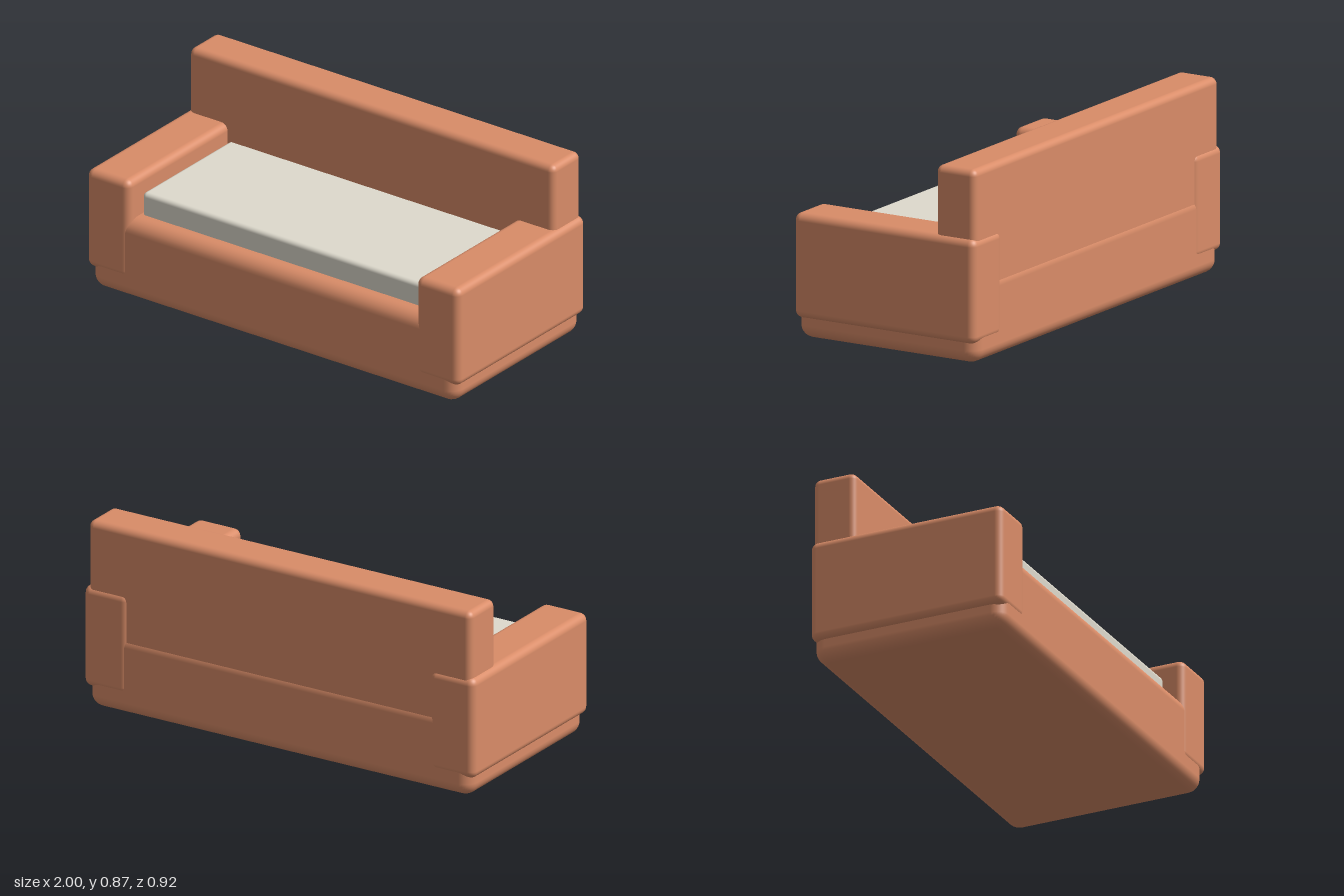
import * as THREE from 'three';
import { RoundedBoxGeometry } from 'three/addons/geometries/RoundedBoxGeometry.js';

const leather = new THREE.MeshStandardMaterial({ color: 0xd98c68 });
const fabric = new THREE.MeshStandardMaterial({ color: 0xdedacd });

// Rounded block given by its min and max corners
function block(name, [x0, y0, z0], [x1, y1, z1], radius, material) {
  const geometry = new RoundedBoxGeometry(x1 - x0, y1 - y0, z1 - z0, 4, radius);
  const mesh = new THREE.Mesh(geometry, material);
  mesh.position.set((x0 + x1) / 2, (y0 + y1) / 2, (z0 + z1) / 2);
  mesh.name = name;
  return mesh;
}

export function createModel() {
  const sofa = new THREE.Group();
  sofa.name = 'sofa';

  // Body: base plinth and backrest
  sofa.add(block('base', [-0.98, 0, -0.459], [0.98, 0.375, 0.459], 0.06, leather));
  sofa.add(block('backrest', [-0.98, 0.25, -0.454], [0.98, 0.865, -0.252], 0.03, leather));

  // Seat cushion resting in the base
  sofa.add(block('seatCushion', [-0.765, 0.33, -0.35], [0.765, 0.48, 0.372], 0.02, fabric));

  // Armrests, mirrored
  for (const [name, side] of [['leftArm', 1], ['rightArm', -1]]) {
    const arm = block(name, [-0.115, 0.093, -0.462], [0.115, 0.56, 0.462], 0.034, leather);
    arm.position.x = side * 0.885;
    sofa.add(arm);
  }
  return sofa;
}
